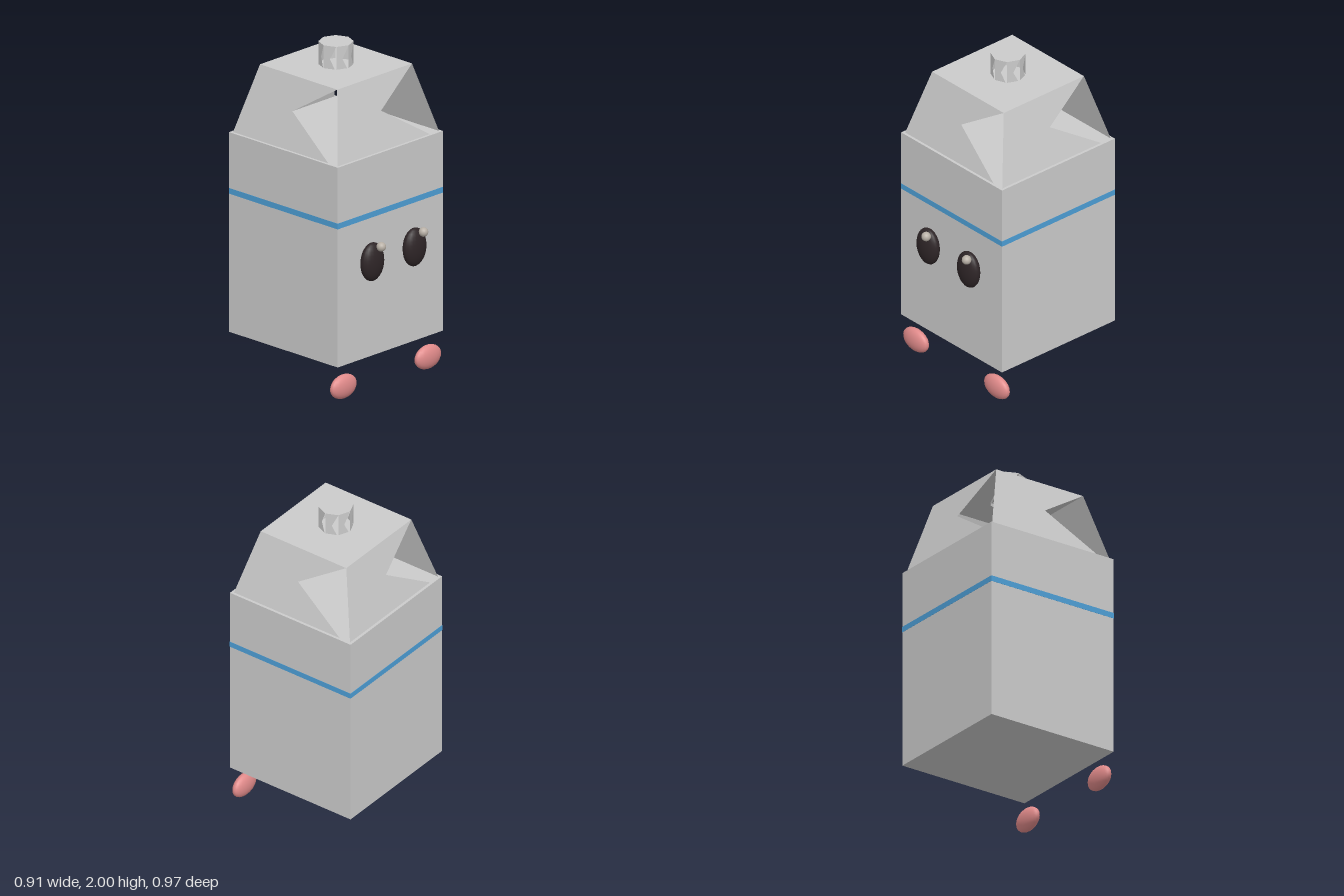
import * as THREE from 'three';

const CZ = -0.048; // centre line of the carton in z

const mat = (color = 0xcccccc, extra = {}) => new THREE.MeshStandardMaterial({ color, ...extra });

function add(parent, name, geometry, material, x, y, z) {
  const mesh = new THREE.Mesh(geometry, material);
  mesh.name = name;
  mesh.position.set(x, y, z);
  parent.add(mesh);
  return mesh;
}

// Open-sided frustum: each wall is a lower and an upper triangle meeting where
// its diagonals cross, leaving a notch at one end. The top is closed.
function notchedFrustum(sides, rTop, rBottom, yTop, yBottom, startAngle) {
  const ring = (r, y, i) => {
    const a = startAngle + (i / sides) * Math.PI * 2;
    return new THREE.Vector3(Math.sin(a) * r, y, Math.cos(a) * r);
  };
  const points = [];
  const centre = new THREE.Vector3(0, yTop, 0);
  for (let i = 0; i < sides; i++) {
    const tl = ring(rTop, yTop, i), tr = ring(rTop, yTop, i + 1);
    const bl = ring(rBottom, yBottom, i), br = ring(rBottom, yBottom, i + 1);
    const cross = tl.clone().lerp(br, rTop / (rTop + rBottom));
    points.push(tl, bl, br, tl, cross, tr, centre, tl, tr);
  }
  const geometry = new THREE.BufferGeometry().setFromPoints(points);
  geometry.computeVertexNormals();
  return geometry;
}

function ellipsoid(rx, ry, rz) {
  return new THREE.SphereGeometry(1, 20, 14).scale(rx, ry, rz);
}

export function createModel() {
  const model = new THREE.Group();
  model.name = 'milkCarton';
  const open = mat(0xcccccc, { side: THREE.DoubleSide });

  // Carton body and its thin blue stripe
  add(model, 'body', new THREE.BoxGeometry(0.873, 1.225, 0.873), mat(), 0, 0.8325, CZ);
  add(model, 'stripe', new THREE.BoxGeometry(0.875, 0.035, 0.875), mat(0x4d9fd6), 0, 1.085, CZ);

  // Sloped roof, sunk a little into the body, and the screw cap
  const q = Math.SQRT2;
  add(model, 'roof', notchedFrustum(4, 0.31 * q, 0.435 * q, 1.86, 1.388, -Math.PI / 4), open, 0, 0, CZ);
  add(model, 'cap', notchedFrustum(8, 0.102, 0.102, 2, 1.84, 0), open, 0, 0, CZ);

  // Face and feet
  const eyeMat = mat(0x2e2527), glintMat = mat(0xb8b0a6), footMat = mat(0xe08a8a);
  for (const [side, s] of [['left', 1], ['right', -1]]) {
    add(model, side + 'Eye', ellipsoid(0.087, 0.117, 0.048), eyeMat, s * 0.175, 0.808, 0.413);
    add(model, side + 'EyeGlint', ellipsoid(0.028, 0.028, 0.028), glintMat, s * 0.175 + 0.03, 0.902, 0.456);
    add(model, side + 'Foot', ellipsoid(0.103, 0.073, 0.04), footMat, s * 0.35, 0.073, 0.35);
  }
  return model;
}
